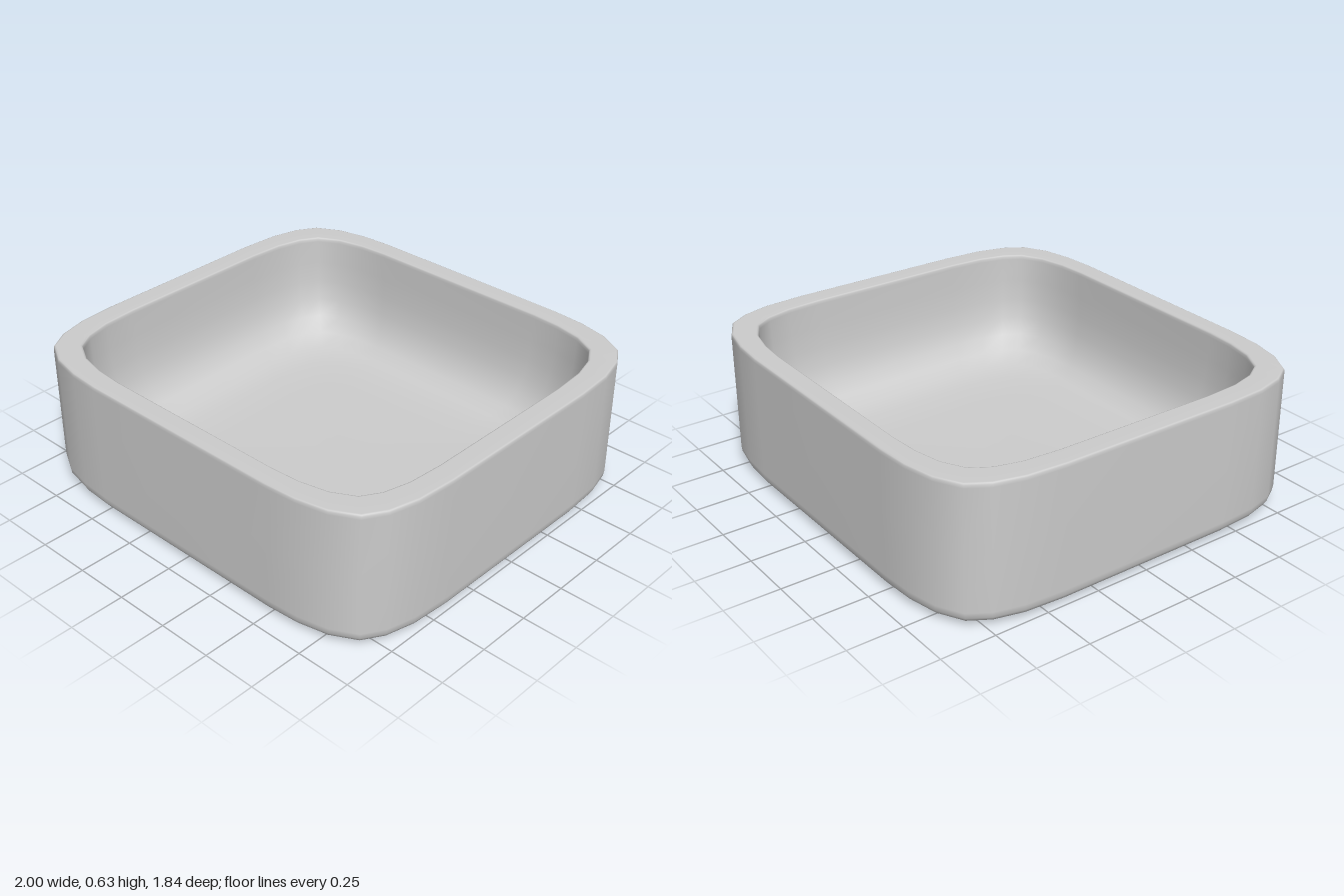
import * as THREE from 'three';

// One quarter of the rounded outline (x, z), from the side to the front
const corner = [
  [1, 0], [1, 0.42], [0.988, 0.6], [0.955, 0.73], [0.9, 0.82],
  [0.79, 0.88], [0.65, 0.91], [0.5, 0.92], [0, 0.92],
];

// Mirror the quarter into a closed outline
function outline() {
  const half = [...corner, ...corner.slice(0, -1).reverse().map(([x, z]) => [-x, z])];
  return [...half, ...half.slice(1, -1).reverse().map(([x, z]) => [x, -z])];
}

// Section through the wall (outline scale, height): underside, outside, rim, cavity
const section = [
  [0, 0], [0.6, 0.001], [0.85, 0.006], [0.94, 0.011], [0.97, 0.017],
  [0.988, 0.028], [0.997, 0.045], [1, 0.07], [1, 0.35], [1, 0.61],
  [0.999, 0.622], [0.996, 0.628], [0.99, 0.63],
  [0.905, 0.63], [0.899, 0.628], [0.896, 0.622], [0.895, 0.61],
  [0.892, 0.5], [0.885, 0.4], [0.87, 0.31], [0.84, 0.23], [0.79, 0.17],
  [0.72, 0.13], [0.62, 0.11], [0.45, 0.101], [0, 0.1],
];

// Sweep the section around the outline as smooth rings
function shell() {
  const ring = outline(), n = ring.length;
  const positions = [], index = [];
  section.forEach(([s, y]) => ring.forEach(([x, z]) => positions.push(x * s, y, z * s)));
  for (let j = 0; j < section.length - 1; j++) {
    for (let i = 0; i < n; i++) {
      const a = j * n + i, b = j * n + (i + 1) % n, c = a + n, d = b + n;
      if (section[j][0] > 0) index.push(a, c, b);
      if (section[j + 1][0] > 0) index.push(b, c, d);
      else index.push(); // the cavity floor closes in a fan
    }
  }
  const geometry = new THREE.BufferGeometry();
  geometry.setAttribute('position', new THREE.Float32BufferAttribute(positions, 3));
  geometry.setIndex(index);
  geometry.computeVertexNormals();
  return geometry;
}

export function createModel() {
  const model = new THREE.Group();
  model.name = 'squareBowl';
  const bowl = new THREE.Mesh(shell(), new THREE.MeshStandardMaterial({ color: 0xcccccc }));
  bowl.name = 'bowl';
  model.add(bowl);
  return model;
}
